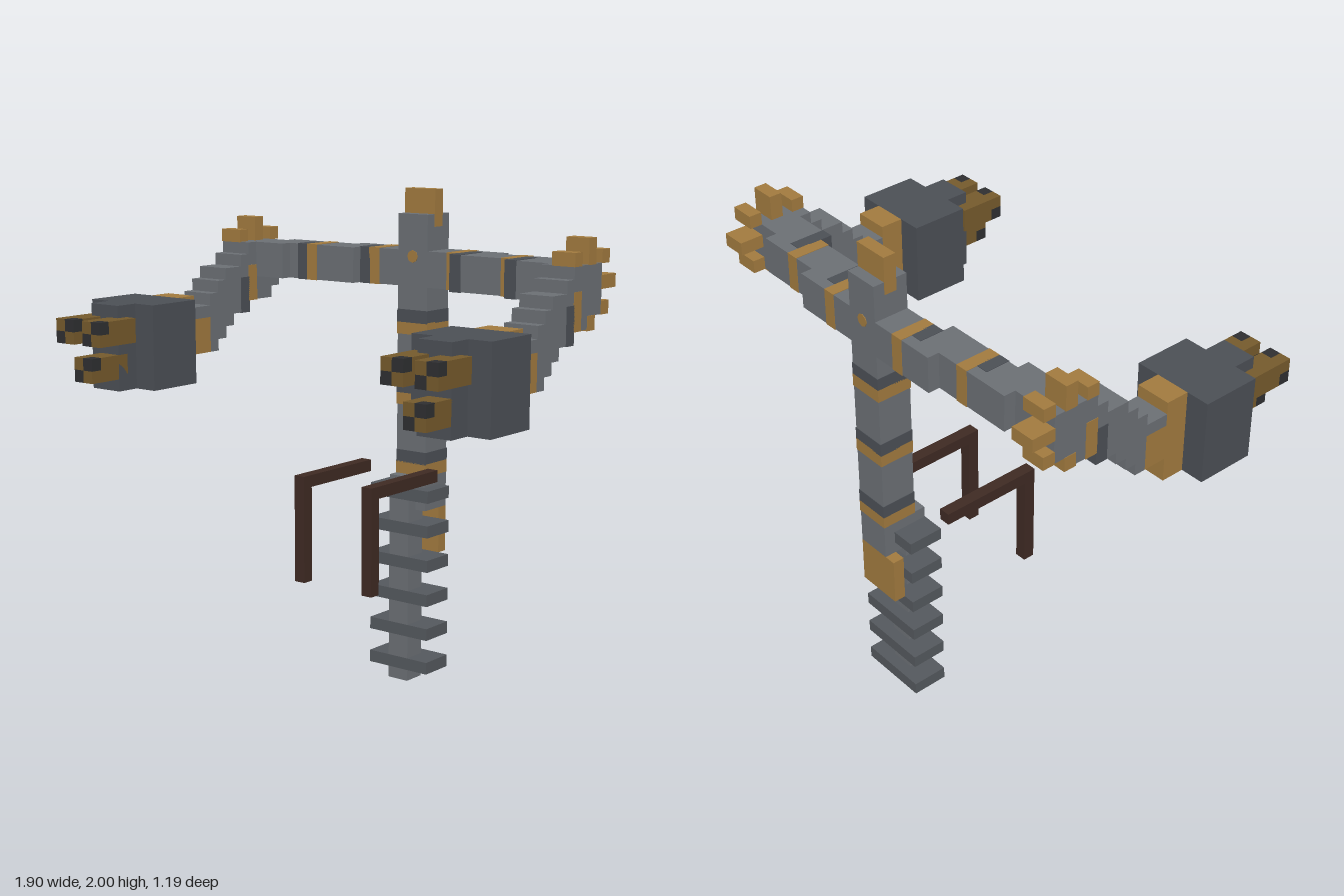
import * as THREE from 'three';

// One block of the grid; the model is 40 x 42 x 25 blocks
const U = 2 / 42;
const mat = (name, color) => {
  const m = new THREE.MeshStandardMaterial({ color });
  m.name = name;
  return m;
};

export function createModel() {
  const steel = mat('steel grey', 0x6b6f74);
  const dark = mat('dark steel', 0x4b4f55);
  const ribGrey = mat('rib grey', 0x54585d);
  const brass = mat('brass', 0xa17a3e);
  const bronze = mat('dark bronze', 0x755a2c);
  const brown = mat('dark brown', 0x3e2a23);
  const black = mat('bore black', 0x2e2f31);
  const model = new THREE.Group();
  model.name = 'twinArmRig';

  // Box given by block ranges in x, y and z (z counted from the back)
  const box = (parent, name, m, [x0, x1], [y0, y1], [z0, z1], grow = 0) => {
    const g = new THREE.BoxGeometry((x1 - x0) * U + grow, (y1 - y0) * U + grow, (z1 - z0) * U + grow);
    const mesh = new THREE.Mesh(g, m);
    mesh.name = name;
    mesh.position.set((x0 + x1) / 2 * U, (y0 + y1) / 2 * U, ((z0 + z1) / 2 - 12.5) * U);
    parent.add(mesh);
    return mesh;
  };
  const group = (name) => {
    const g = new THREE.Group();
    g.name = name;
    model.add(g);
    return g;
  };
  const BAND = 0.004;

  // Lower spine with ribs and back plate
  const spine = group('spine');
  box(spine, 'spineCore', steel, [-1, 1], [0, 18], [2, 4]);
  for (let y = 1; y <= 16; y += 3) box(spine, 'rib', ribGrey, [-3, 3], [y, y + 1], [1, 4], 0.002);
  box(spine, 'backPlate', brass, [-2, 2], [11, 15], [0, 1]);

  // Upper column with paired bands and a crest
  const column = group('column');
  box(column, 'columnCore', steel, [-1, 2], [15, 40], [0, 3]);
  for (const y of [18, 24, 30]) {
    box(column, 'brassBand', brass, [-1, 2], [y, y + 1], [0, 3], BAND);
    box(column, 'darkBand', dark, [-1, 2], [y + 1, y + 2], [0, 3], BAND);
  }
  box(column, 'crest', brass, [-1, 2], [39, 42], [1, 2], BAND);
  for (const z of [0, 3]) {
    const stud = new THREE.Mesh(new THREE.CylinderGeometry(0.025, 0.025, 0.006, 8), brass);
    stud.name = 'stud';
    stud.rotation.x = Math.PI / 2;
    stud.position.set(U / 2, 36.5 * U, (z - 12.5) * U);
    column.add(stud);
  }

  // Bent handles
  const handles = group('handles');
  for (const x of [-4, 3]) {
    box(handles, 'handleBar', brown, [x, x + 1], [18, 19], [4, 13]);
    box(handles, 'handleGrip', brown, [x, x + 1], [10, 18], [12, 13]);
  }

  // Crossbar: each wing steps forward in three sections
  const bar = group('crossbar');
  const Y = [34, 37];
  const sections = [
    [[2, 5], [0, 3]], [[5, 8], [0, 3]], [[5, 14], [1, 4]], [[11, 15], [2, 5]],
    [[-5, -1], [0, 3]], [[-7, -5], [0, 3]], [[-14, -5], [1, 4]], [[-15, -12], [2, 5]],
  ];
  for (const [x, z] of sections) box(bar, 'barSection', steel, x, Y, z);
  box(bar, 'brassBand', brass, [4, 5], Y, [0, 3], BAND);
  box(bar, 'brassBand', brass, [-4, -3], Y, [0, 3], BAND);
  box(bar, 'darkBand', dark, [5, 6], Y, [1, 4], BAND);
  box(bar, 'darkBand', dark, [-5, -4], Y, [1, 3], BAND);
  box(bar, 'brassBand', brass, [10, 11], Y, [1, 4], BAND);
  box(bar, 'brassBand', brass, [-10, -9], Y, [1, 4], BAND);
  box(bar, 'darkBand', dark, [11, 12], Y, [2, 5], BAND);
  box(bar, 'darkBand', dark, [-11, -10], Y, [2, 4], BAND);

  // Arms: stair-stepped slices, from the shoulder down to the joint
  const slices = [[5, 32, 37], [6, 31, 36], [7, 31, 35], [8, 30, 35], [9, 29, 34], [10, 28, 33]];
  // Shoulder spikes as back, front, bottom and top block numbers
  const spikes = [
    [5, 6, 37, 38], [3, 4, 37, 39], [1, 2, 37, 38], [0, 2, 35, 36], [1, 2, 33, 34], [3, 4, 31.9, 33],
  ];
  for (const [name, s] of [['leftArm', 15], ['rightArm', -18]]) {
    const arm = group(name);
    const X = [s, s + 3];
    const outer = s > 0 ? [16, 18] : [-18, -16];
    box(arm, 'shoulder', steel, X, [33, 37], [2, 5]);
    box(arm, 'shoulderBase', steel, X, [32, 33], [3, 5]);
    for (const [z, y0, y1] of slices) box(arm, 'armStep', steel, X, [y0, y1], [z, z + 1]);
    box(arm, 'armBrassBand', brass, X, [32, 35], [5, 6], BAND);
    box(arm, 'armDarkBand', dark, X, [31, 34], [6, 7], BAND);
    for (const [z0, z1, y0, y1] of spikes) box(arm, 'spike', brass, outer, [y0, y1], [z0, z1], BAND);
    box(arm, 'joint', brass, X, [28, 31], [11, 13]);
    box(arm, 'jointCap', steel, X, [31, 32], [11, 13]);

    // Housing with mount and nose
    box(arm, 'mount', brass, X, [26, 33], [13, 15]);
    box(arm, 'housing', dark, [s - 2, s + 5], [26, 33], [15, 20]);
    box(arm, 'nose', dark, X, [26, 33], [20, 22]);

    // Three barrels with chequered tips
    for (const [x, y] of [[s - 1, 30], [s + 2, 30], [s + 1, 27]]) {
      box(arm, 'barrel', bronze, [x, x + 2], [y, y + 2], [21, 24]);
      for (let i = 0; i < 2; i++) for (let j = 0; j < 2; j++) {
        box(arm, 'barrelTip', i === j ? black : bronze, [x + i, x + i + 1], [y + j, y + j + 1], [24, 25]);
      }
    }
  }
  return model;
}
